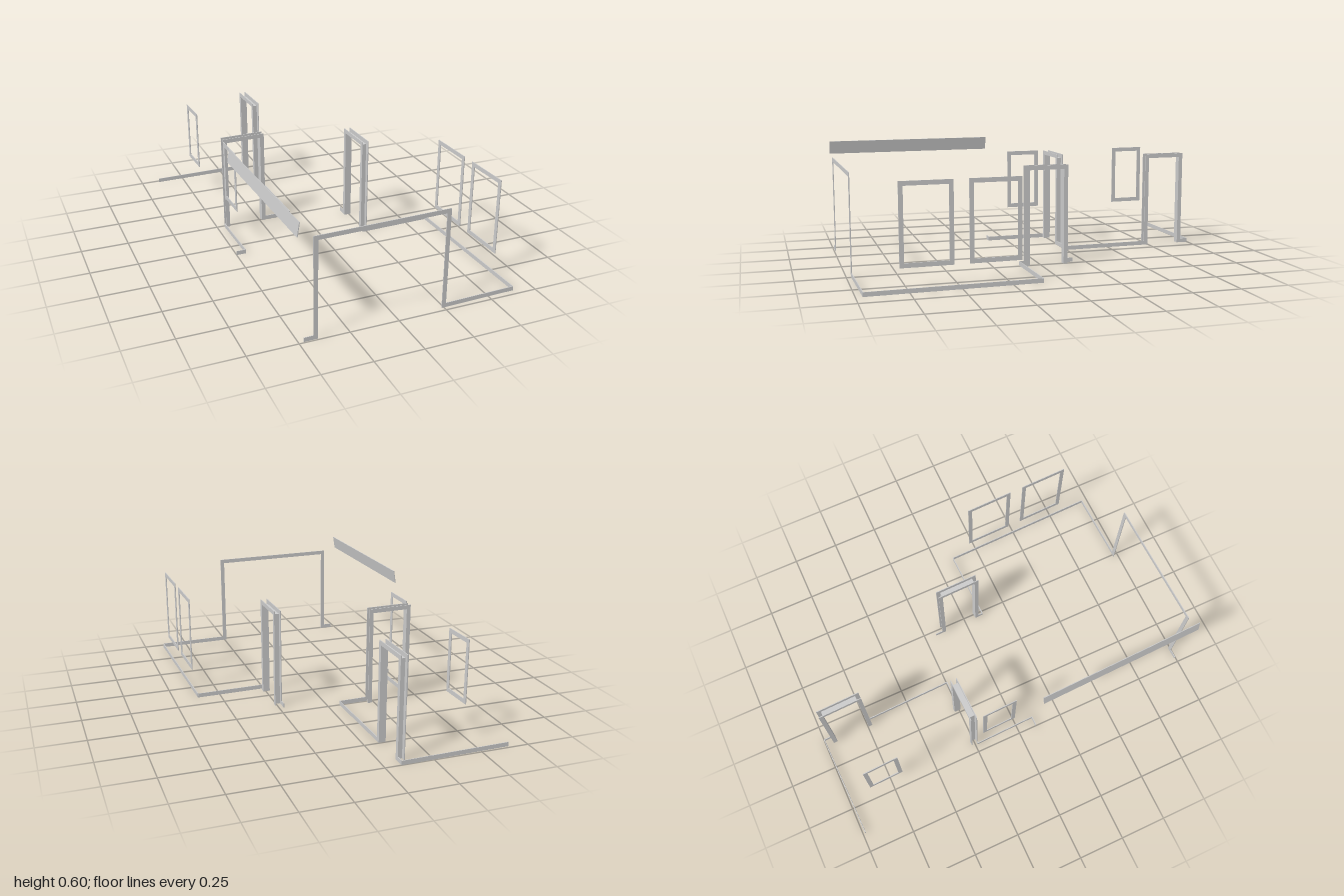
import * as THREE from 'three';

const TRIM = 0.022; // width of skirting and frame boards
const THICK = 0.004; // thickness of the boards
const HEAD = 0.522; // top of doors and windows
const material = new THREE.MeshStandardMaterial({ color: 0xcccccc, side: THREE.DoubleSide, flatShading: true });

function addMesh(parent, name, geometry) {
  const mesh = new THREE.Mesh(geometry, material);
  mesh.name = name;
  parent.add(mesh);
  return mesh;
}

function polygon(points) {
  return new THREE.Shape(points.map(([x, y]) => new THREE.Vector2(x, y)));
}

const rect = (x0, x1, y0, y1) => polygon([[x0, y0], [x1, y0], [x1, y1], [x0, y1]]);

// Thin board centred on the wall line
function board(shape) {
  return new THREE.ExtrudeGeometry(shape, { depth: THICK, bevelEnabled: false }).translate(0, 0, -THICK / 2);
}

// U-shaped door trim standing on the floor
function doorTrim(u0, u1) {
  const t = TRIM;
  return board(polygon([
    [u0, 0], [u0 + t, 0], [u0 + t, HEAD - t], [u1 - t, HEAD - t],
    [u1 - t, 0], [u1, 0], [u1, HEAD], [u0, HEAD],
  ]));
}

// Four-sided window trim
function windowTrim(u0, u1, sill) {
  const shape = rect(u0, u1, sill, HEAD);
  shape.holes.push(rect(u0 + TRIM, u1 - TRIM, sill + TRIM, HEAD - TRIM));
  return board(shape);
}

// Door with trim on the wall face and, if the wall has depth, lining and far trim
function addDoor(wall, { from, to, depth }) {
  const door = new THREE.Group();
  door.name = 'doorFrame';
  wall.add(door);
  addMesh(door, 'doorTrim', doorTrim(from, to));
  if (!depth) return;
  addMesh(door, 'doorTrimFar', doorTrim(from, to)).position.z = depth;
  const height = HEAD - TRIM;
  for (const u of [from + TRIM, to - TRIM]) {
    const jamb = addMesh(door, 'doorJamb', new THREE.PlaneGeometry(depth, height));
    jamb.rotation.y = Math.PI / 2;
    jamb.position.set(u, height / 2, depth / 2);
  }
  const lintel = addMesh(door, 'doorLintel', new THREE.PlaneGeometry(to - from - 2 * TRIM, depth));
  lintel.rotation.x = Math.PI / 2;
  lintel.position.set((from + to) / 2, height, depth / 2);
}

// Wall line from a to b [x, z]; openings are measured along it from a
function addWall(root, { name, a, b, doors = [], windows = [], skirting = true }) {
  const wall = new THREE.Group();
  wall.name = name;
  const dx = b[0] - a[0], dz = b[1] - a[1];
  wall.position.set(a[0], 0, a[1]);
  wall.rotation.y = -Math.atan2(dz, dx);
  root.add(wall);

  // Skirting runs between the doors
  if (skirting) {
    let start = 0;
    for (const end of [...doors, { from: Math.hypot(dx, dz) }]) {
      addMesh(wall, 'skirting', board(rect(start, end.from, 0, TRIM)));
      start = end.to;
    }
  }
  doors.forEach((door) => addDoor(wall, door));
  windows.forEach(([u0, u1, sill]) => addMesh(wall, 'windowFrame', windowTrim(u0, u1, sill)));
}

export function createModel() {
  const root = new THREE.Group();
  root.name = 'roomTrim';

  const walls = [
    { name: 'backWall', a: [-0.65, -0.985], b: [-0.085, -0.998] },
    { name: 'backRoomSideWall', a: [-0.085, -0.998], b: [-0.066, -0.248],
      doors: [{ from: 0.041, to: 0.273, depth: 0.033 }] },
    { name: 'backRoomFrontWall', a: [-0.066, -0.248], b: [-0.458, -0.235],
      doors: [{ from: 0.149, to: 0.384, depth: 0.032 }] },
    { name: 'passageWall', a: [-0.458, -0.235], b: [-0.449, 0.1], windows: [[0.032, 0.22, 0.192]] },
    { name: 'passageReturn', a: [-0.449, 0.1], b: [-0.5, 0.1] },
    { name: 'backRoomWindowWall', a: [-0.475, -0.864], b: [-0.468, -0.677],
      windows: [[0, 0.187, 0.192]], skirting: false },
    { name: 'innerDoorWall', a: [0.23, 0.11], b: [0.224, -0.185],
      doors: [{ from: 0.024, to: 0.255, depth: 0.033 }] },
    { name: 'mainRoomBackWall', a: [0.23, 0.11], b: [0.62, 0.1] },
    { name: 'mainRoomSideWall', a: [0.621, 0.1], b: [0.642, 0.965],
      windows: [[0.108, 0.365, 0.12], [0.439, 0.697, 0.12]] },
    { name: 'mainRoomFrontWall', a: [0.642, 0.965], b: [-0.475, 0.993],
      doors: [{ from: 0.382, to: 1.07 }] },
  ];
  walls.forEach((wall) => addWall(root, wall));

  // Leaning overhead board along the open side
  const overhead = addMesh(root, 'overheadBoard', new THREE.BoxGeometry(THICK, 0.07, 0.9));
  overhead.rotation.set(0, 0.0256, -0.16, 'YXZ');
  overhead.position.set(-0.511, 0.5695, 0.55);

  return root;
}
